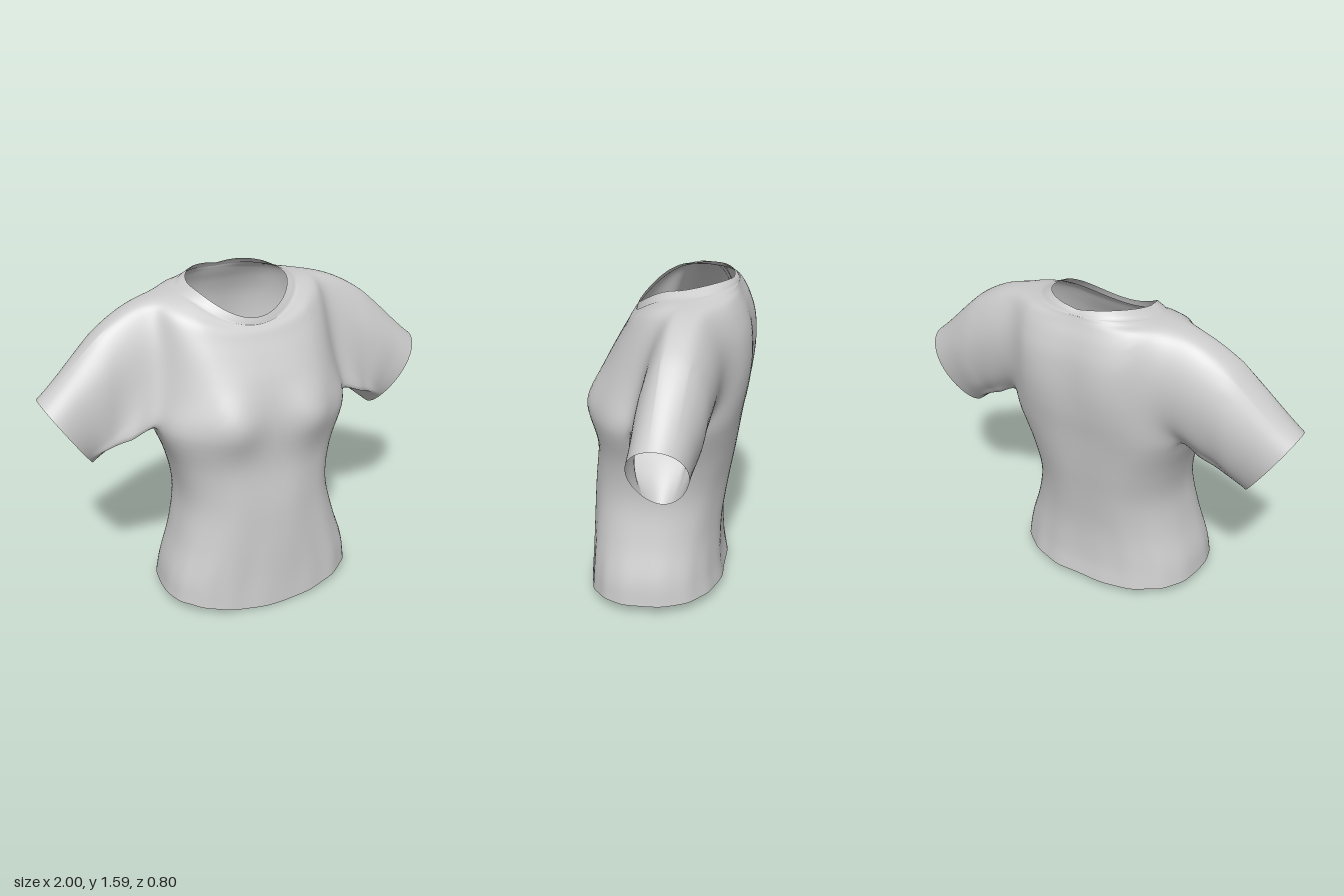
import * as THREE from 'three';

const N = 96;          // points around each torso ring
const S = 5;           // rings between two key sections
const M = 22;          // rings along each sleeve
const ARMPIT = 5, SHOULDER = 10, COLLAR = 12;
const FRONT = 4, BACK = -10;   // armhole columns either side of the side line

// key sections, hem to neck rim:
// y front, y side, y back, half width, z front, z back, z centre, roundness, armhole pinch
const KEYS = [
  [0.005, 0.06, 0.05, 0.50, 0.395, -0.29, 0.10, 0.8, 0],
  [0.16, 0.18, 0.17, 0.48, 0.385, -0.272, 0.10, 0.8, 0],
  [0.36, 0.36, 0.36, 0.422, 0.378, -0.27, 0.09, 0.82, 0],
  [0.56, 0.56, 0.56, 0.385, 0.368, -0.295, 0.07, 0.84, 0],
  [0.76, 0.76, 0.76, 0.415, 0.348, -0.33, 0.06, 0.82, 0],
  [0.95, 0.98, 0.95, 0.495, 0.348, -0.36, 0.05, 0.8, 0.35],
  [1.08, 1.09, 1.10, 0.475, 0.33, -0.385, -0.01, 0.8, 0.1],
  [1.19, 1.23, 1.24, 0.455, 0.295, -0.395, -0.06, 0.8, 0],
  [1.28, 1.36, 1.37, 0.445, 0.25, -0.388, -0.08, 0.8, 0.05],
  [1.35, 1.47, 1.46, 0.44, 0.21, -0.365, -0.09, 0.85, 0.3],
  [1.39, 1.535, 1.52, 0.42, 0.188, -0.338, -0.095, 0.9, 0.6],
  [1.41, 1.548, 1.55, 0.345, 0.172, -0.325, -0.09, 0.95, 0.1],
  [1.422, 1.554, 1.565, 0.295, 0.163, -0.318, -0.08, 1, 0],
  [1.45, 1.572, 1.582, 0.243, 0.153, -0.298, -0.07, 1, 0],
];

const bell = (d, r) => Math.exp(-(d * d) / (r * r));
const spow = (v, p) => Math.sign(v) * Math.pow(Math.abs(v), p);
const clamp01 = v => THREE.MathUtils.clamp(v, 0, 1);

// one point of the torso surface
function torsoPoint(key, t, angle) {
  const [yF, yS, yB, w, zF, zB, zC, p, pinch] = key;
  const a = angle - pinch * Math.sin(2 * angle) / 2;
  const c = Math.cos(a), s = Math.sin(a);
  const x = w * spow(c, p);
  let y = yS + ((s > 0 ? yF : yB) - yS) * Math.pow(Math.abs(s), t < ARMPIT ? 4 : 2);
  let z = zC + (s > 0 ? zF - zC : zC - zB) * spow(s, p);
  if (s > 0) {
    // bust
    z += 0.05 * s * bell(Math.abs(x) - 0.2, 0.13) * bell(y - 1.01, 0.14);
  } else {
    // shoulder blades, hollow of the spine, and the raised sides of the back neck
    z -= 0.015 * s * s * bell(Math.abs(x) - 0.2, 0.12) * bell(y - 1.28, 0.25);
    z += 0.007 * bell(x, 0.07) * bell(y - 1.25, 0.4);
    y += 0.018 * clamp01((t - 11) / 2) * Math.abs(Math.sin(2 * a));
  }
  // collar seam
  y -= 0.005 * bell(t - COLLAR, 0.15);
  // soft hanging folds
  const drape = 0.004 * bell(y - 0.35, 0.45) * Math.sin(9 * angle + 2.5 * y) * s * s
    + 0.003 * bell(y - 0.1, 0.2) * Math.sin(17 * angle - 1);
  return new THREE.Vector3(x * (1 + drape) + 0.009 * bell(y - 0.25, 0.4), y, z + drape * s);
}

// relax the cloth where sleeves and torso meet
function relaxShoulders(points, index, passes) {
  const near = points.map(() => new Set());
  for (let k = 0; k < index.length; k += 3) {
    const [a, b, c] = index.slice(k, k + 3);
    near[a].add(b).add(c);
    near[b].add(a).add(c);
    near[c].add(a).add(b);
  }
  const weight = points.map(p =>
    0.6 * clamp01(1.6 - 1.6 * ((Math.abs(p.x) - 0.48) / 0.21) ** 2) * clamp01((p.y - 0.93) / 0.2));
  const active = points.map((_, k) => k).filter(k => weight[k] > 0);
  for (let n = 0; n < passes; n++) {
    const moved = active.map(k => {
      const mean = new THREE.Vector3();
      near[k].forEach(o => mean.add(points[o]));
      return points[k].clone().lerp(mean.divideScalar(near[k].size), weight[k]);
    });
    active.forEach((k, i) => points[k].copy(moved[i]));
  }
}

export function createModel() {
  const points = [];
  const parts = { torso: [], collar: [], leftSleeve: [], rightSleeve: [] };
  const quad = (list, a, b, c, d, flip) =>   // a-b along, a-c around
    flip ? list.push(a, c, b, c, d, b) : list.push(a, b, c, c, b, d);
  const id = (j, i) => j * N + ((i % N) + N) % N;

  // torso and collar rings
  const rows = (KEYS.length - 1) * S;
  const spline = new THREE.CubicInterpolant(KEYS.map((_, i) => i), KEYS.flat(), 9, new Float32Array(9));
  for (let j = 0; j <= rows; j++) {
    const key = spline.evaluate(j / S);
    for (let i = 0; i < N; i++) points.push(torsoPoint(key, j / S, i * 2 * Math.PI / N));
  }

  // skin, leaving the armholes open
  const inHole = (j, i) => j >= ARMPIT * S && j < SHOULDER * S && i >= BACK && i < FRONT;
  for (let j = 0; j < rows; j++) {
    for (let i = -N / 4; i < N * 3 / 4; i++) {
      if (inHole(j, i) || inHole(j, N / 2 - i - 1)) continue;
      quad(j >= COLLAR * S ? parts.collar : parts.torso,
        id(j, i), id(j + 1, i), id(j, i + 1), id(j + 1, i + 1));
    }
  }

  // sleeves grow out of the armhole edges and end in a slanted oval cuff
  for (const side of [1, -1]) {
    const list = side > 0 ? parts.leftSleeve : parts.rightSleeve;
    const col = i => (side > 0 ? i : N / 2 - i);
    const r0 = ARMPIT * S, r1 = SHOULDER * S;
    let ring = [];
    for (let i = BACK; i < FRONT; i++) ring.push(id(r0, col(i)));
    for (let j = r0; j < r1; j++) ring.push(id(j, col(FRONT)));
    for (let i = FRONT; i > BACK; i--) ring.push(id(r1, col(i)));
    for (let j = r1; j > r0; j--) ring.push(id(j, col(BACK)));

    const start = ring.map(k => points[k]);
    const box = new THREE.Box3().setFromPoints(start);
    const mid = box.getCenter(new THREE.Vector3()), size = box.getSize(new THREE.Vector3());
    const cuff = start.map(p => {
      const a = Math.atan2((p.z - mid.z) / size.z, (p.y - mid.y) / size.y);
      const u = Math.cos(a), v = Math.sin(a);
      return new THREE.Vector3(side * (0.883 + 0.115 * u), 0.955 + 0.178 * u, -0.068 + 0.131 * v * (1 + 0.18 * u));
    });

    for (let m = 1; m <= M; m++) {
      const t = m / M, t2 = t * t, t3 = t2 * t;
      const next = start.map((p, k) => {
        const q = cuff[k], len = p.distanceTo(q);
        const low = clamp01((1.25 - p.y) / 0.3);
        const from = new THREE.Vector3(side * 0.9 * len, -0.35 * low * len, 0);
        const to = new THREE.Vector3(side * 0.78 * len, -0.62 * len, 1.3 * (q.z - p.z));
        const r = new THREE.Vector3()
          .addScaledVector(p, 2 * t3 - 3 * t2 + 1).addScaledVector(from, t3 - 2 * t2 + t)
          .addScaledVector(q, 3 * t2 - 2 * t3).addScaledVector(to, t3 - t2);
        // light creases running out from the armpit
        const crease = bell(r.y - 1.0, 0.16) * Math.sin(Math.PI * t) * Math.sin(16 * t + 9 * r.y);
        r.z += 0.005 * crease * THREE.MathUtils.clamp((r.z + 0.08) * 12, -1, 1);
        return points.push(r) - 1;
      });
      const n = ring.length;
      for (let k = 0; k < n; k++) {
        const l = (k + 1) % n;
        quad(list, ring[k], next[k], ring[l], next[l], side < 0);
      }
      ring = next;
    }
  }

  // one shared set of smooth normals, so the parts join without seams
  const allFaces = Object.values(parts).flat();
  relaxShoulders(points, allFaces, 18);
  const whole = new THREE.BufferGeometry().setFromPoints(points);
  whole.setIndex(allFaces);
  whole.computeVertexNormals();

  const material = new THREE.MeshStandardMaterial({ color: 0xcccccc, side: THREE.DoubleSide });
  const group = new THREE.Group();
  group.name = 'shirt';
  for (const [name, index] of Object.entries(parts)) {
    const used = [...new Set(index)];
    const slot = new Map(used.map((k, i) => [k, i]));
    const geometry = new THREE.BufferGeometry();
    for (const attr of ['position', 'normal']) {
      const src = whole.getAttribute(attr);
      const data = used.flatMap(k => [src.getX(k), src.getY(k), src.getZ(k)]);
      geometry.setAttribute(attr, new THREE.Float32BufferAttribute(data, 3));
    }
    geometry.setIndex(index.map(k => slot.get(k)));
    const mesh = new THREE.Mesh(geometry, material);
    mesh.name = name;
    group.add(mesh);
  }
  return group;
}
